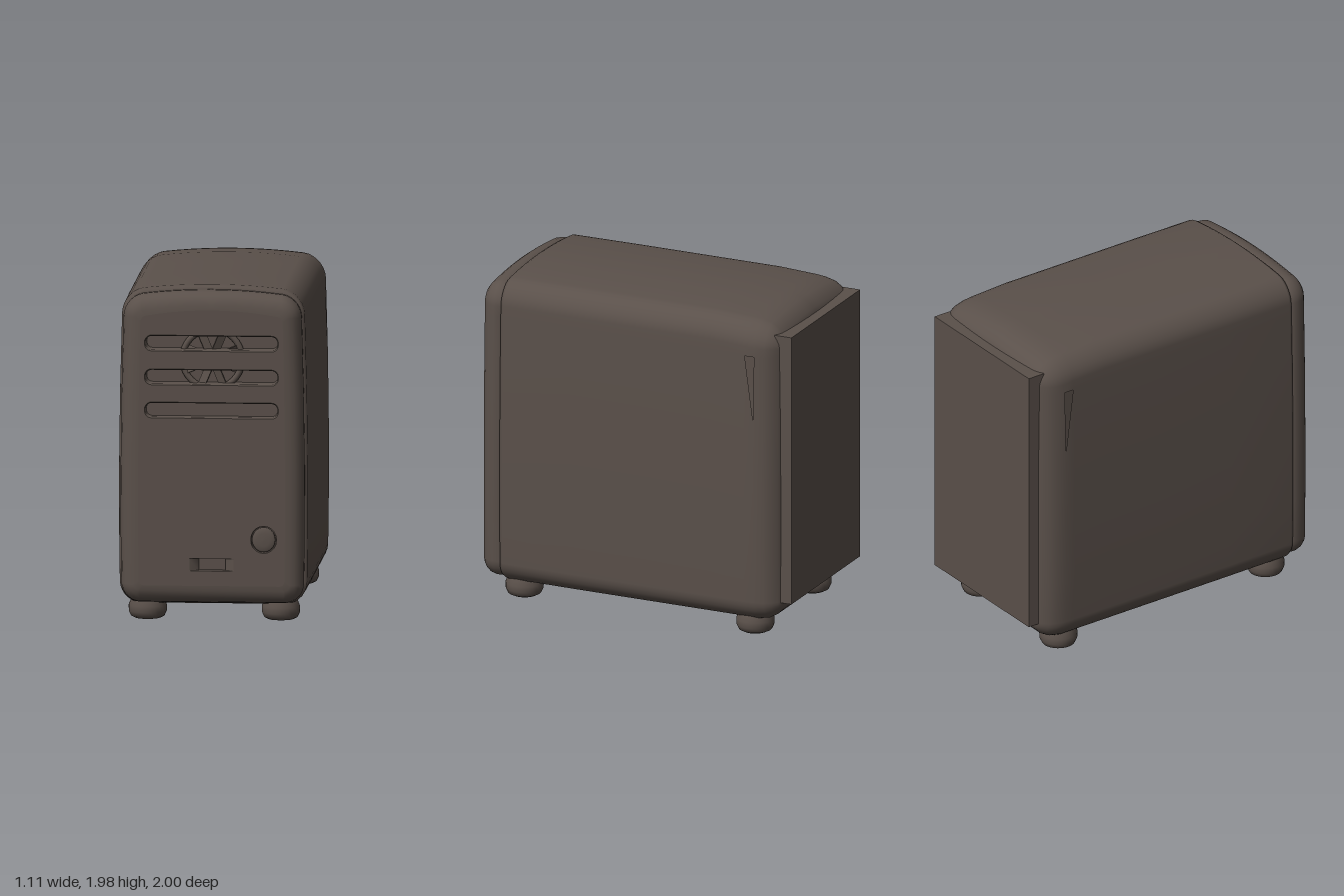
import * as THREE from 'three';

const shell = new THREE.MeshStandardMaterial({ color: 0x5a504a, side: THREE.DoubleSide });
shell.name = 'dark brown shell';

const SIDE_YS = [0.5, 0.9, 1.34, 1.74];

// Rounded case outline, counter-clockwise seen from the front, with a domed top and softly bowed sides
function outline(z, inset, drop) {
  const w = 0.555 - inset, y0 = 0.095 + inset, y1 = 1.94 - inset - drop;
  const r = Math.max(0.03, 0.13 - inset), pts = [];
  const corner = (cx, cy, start) => {
    for (let k = 0; k <= 7; k++) {
      const a = start + (k / 7) * Math.PI / 2;
      pts.push([cx + r * Math.cos(a), cy + r * Math.sin(a)]);
    }
  };
  corner(w - r, y0 + r, -Math.PI / 2);
  SIDE_YS.forEach(y => pts.push([w, y]));
  corner(w - r, y1 - r, 0);
  for (let k = 1; k < 10; k++) pts.push([(w - r) * (1 - k / 5), y1]);
  corner(r - w, y1 - r, Math.PI / 2);
  [...SIDE_YS].reverse().forEach(y => pts.push([-w, y]));
  corner(r - w, y0 + r, Math.PI);
  return pts.map(([x, y]) => new THREE.Vector3(
    x * (1 - 0.03 * (y - 0.75) ** 2),
    y + (y > 1.75 ? 0.04 * (1 - (x / w) ** 2) * Math.min(1, (y - 1.75) / (y1 - 1.75)) : 0),
    z));
}

// Skin over a row of closed rings; isGap drops one triangle of a quad
function loft(rings, isGap = () => false) {
  const n = rings[0].length, index = [];
  for (let k = 0; k < rings.length - 1; k++) {
    for (let i = 0; i < n; i++) {
      const j = (i + 1) % n;
      const a = k * n + i, a1 = k * n + j, b = a + n, b1 = a1 + n;
      const gap = isGap(rings[k][i], rings[k][j]);
      if (rings[k][i].x > 0) {
        index.push(a, b, a1);
        if (!gap) index.push(a1, b, b1);
      } else {
        index.push(a, b1, a1);
        if (!gap) index.push(a, b, b1);
      }
    }
  }
  const geo = new THREE.BufferGeometry().setFromPoints(rings.flat());
  geo.setIndex(index);
  geo.computeVertexNormals();
  return geo;
}

// Flat face filling a ring
function cap(ring, holes = []) {
  const flat = pts => pts.map(p => new THREE.Vector2(p.x, p.y));
  const shape = new THREE.Shape(flat(ring));
  holes.forEach(h => shape.holes.push(new THREE.Path(flat(h))));
  return new THREE.ShapeGeometry(shape).translate(0, 0, ring[0].z);
}

// Rounded bar ring
function bar(cx, cy, hw, hh, r, z) {
  const pts = [];
  [[1, -1], [1, 1], [-1, 1], [-1, -1]].forEach(([sx, sy], q) => {
    for (let k = 0; k <= 5; k++) {
      const a = (q - 1 + k / 5) * Math.PI / 2;
      pts.push(new THREE.Vector3(cx + sx * (hw - r) + r * Math.cos(a), cy + sy * (hh - r) + r * Math.sin(a), z));
    }
  });
  return pts;
}

export function createModel() {
  const model = new THREE.Group();
  model.name = 'computerCase';
  const add = (name, geo, parent = model) => {
    const mesh = new THREE.Mesh(geo, shell);
    mesh.name = name;
    parent.add(mesh);
    return mesh;
  };
  const group = name => {
    const g = new THREE.Group();
    g.name = name;
    model.add(g);
    return g;
  };

  // Main body, with a narrow wedge opening near the back of each side
  const body = group('body');
  const bodyRings = [
    [0.855, 0.035, 0], [0.85, 0.012, 0], [0.83, 0.002, 0], [0.4, 0, 0], [-0.1, 0, 0], [-0.5, 0, 0],
    [-0.73, 0, 0.012], [-0.79, 0, 0.018], [-0.85, 0.012, 0.02], [-0.89, 0.035, 0.02],
    [-0.92, 0.065, 0.02], [-0.935, 0.09, 0.02], [-0.94, 0.11, 0.02],
  ].map(s => outline(...s));
  const near = (a, b) => Math.abs(a - b) < 0.01;
  add('bodyShell', loft(bodyRings, (p, q) => near(p.z, -0.73) && Math.abs(p.x) > 0.5 &&
    near(Math.min(p.y, q.y), 1.34) && near(Math.max(p.y, q.y), 1.74)), body);
  add('bodyFront', cap(bodyRings[0]), body);
  add('bodyBack', cap(bodyRings.at(-1)), body);

  // Front panel rim
  const panel = group('frontPanel');
  const Z = 0.99;
  const rim = [[0.85, 0.035], [0.86, 0.018], [0.9, 0.016], [0.935, 0.025], [0.96, 0.043],
    [0.977, 0.066], [0.987, 0.095], [Z, 0.125]].map(([z, inset]) => outline(z, inset, 0.01)).reverse();
  add('panelRim', loft(rim), panel);

  // Recesses sunk into the panel
  const holes = [];
  const recess = (name, rings) => {
    holes.push(rings[0]);
    add(name, loft(rings), panel);
    add(name + 'Floor', cap(rings.at(-1)), panel);
  };
  [1.65, 1.45, 1.255].forEach((y, i) => recess('ventSlot', [
    bar(0, y, 0.392, 0.047, 0.04, Z), bar(0, y, 0.386, 0.041, 0.035, Z - 0.008),
    bar(0, y, 0.384, 0.039, 0.033, i < 2 ? 0.9 : 0.94)]));
  recess('latchNotch', [bar(0, 0.345, 0.13, 0.036, 0.005, Z), bar(0, 0.345, 0.08, 0.036, 0.005, 0.965),
    bar(0, 0.345, 0.078, 0.036, 0.005, 0.935)]);
  recess('buttonWell', [bar(0.305, 0.495, 0.075, 0.08, 0.075, Z), bar(0.305, 0.495, 0.072, 0.077, 0.072, 0.965)]);
  recess('sideNick', [Z, 0.96].map(z => [[0.402, 1.48], [0.425, 1.46], [0.425, 1.57]]
    .map(([x, y]) => new THREE.Vector3(x, y, z))));
  add('panelFace', cap(rim[0], holes), panel);

  // Round power button
  const dome = [[0.068, 0], [0.068, 0.024], [0.06, 0.031], [0.035, 0.035], [0, 0.036]]
    .map(p => new THREE.Vector2(...p));
  const button = add('powerButton', new THREE.LatheGeometry(dome, 32), panel);
  button.rotation.x = Math.PI / 2;
  button.scale.z = 1.07;
  button.position.set(0.305, 0.495, 0.962);

  // Fan glimpsed behind the upper two slots
  const fan = group('fan');
  fan.position.set(0, 1.55, 0.92);
  add('fanRing', new THREE.TorusGeometry(0.175, 0.018, 8, 40), fan);
  for (let i = 0; i < 8; i++) {
    const blade = add('fanBlade', new THREE.BoxGeometry(0.15, 0.05, 0.006).translate(0.09, 0, 0), fan);
    blade.rotation.set(0.5, 0, (i + 0.5) * Math.PI / 4, 'ZYX');
  }

  // Back plate
  add('backPlate', new THREE.BoxGeometry(0.94, 1.65, 0.11).translate(0, 1.045, -0.945));

  // Four round feet
  const footProfile = [[0, 0], [0.075, 0], [0.098, 0.012], [0.111, 0.04], [0.112, 0.075], [0.1, 0.105], [0.085, 0.15]]
    .map(p => new THREE.Vector2(...p));
  const footGeo = new THREE.LatheGeometry(footProfile, 28);
  for (const x of [-0.39, 0.39]) {
    for (const z of [0.76, -0.73]) add('foot', footGeo).position.set(x, 0, z);
  }
  return model;
}
